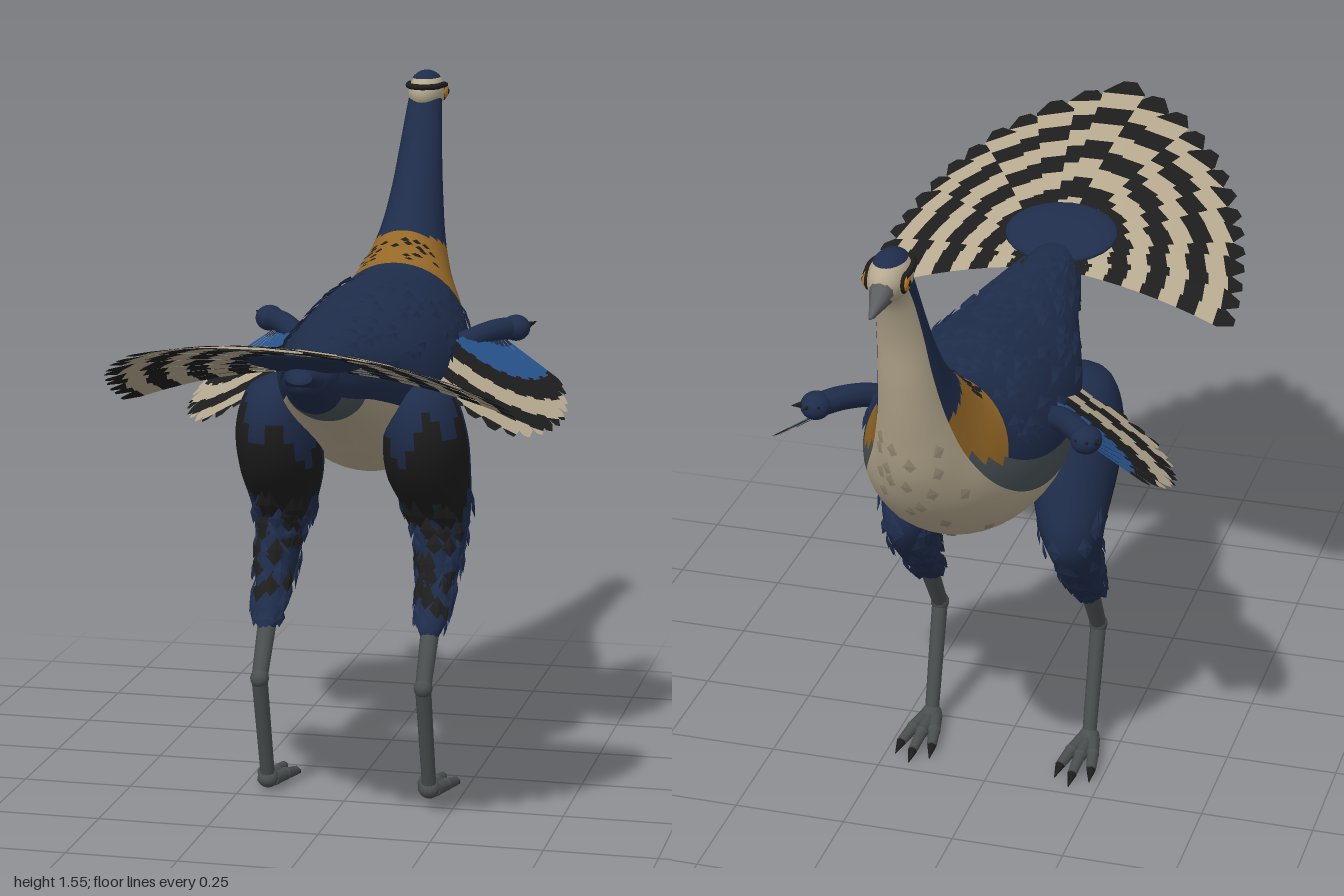
import * as THREE from 'three';

const mat = (name, color, side = THREE.FrontSide) => {
  const m = new THREE.MeshStandardMaterial({ color, side });
  m.name = name;
  return m;
};

let seed = 7;
const rand = () => (seed = (seed * 16807) % 2147483647) / 2147483647;
const V3 = (x, y, z) => new THREE.Vector3(x, y, z);

export function createModel() {
  const D = THREE.DoubleSide;
  const navy = mat('navy', 0x1f2d4b, D), cream = mat('cream', 0xb6a98f, D), black = mat('black', 0x1d1d1e, D);
  const ochre = mat('ochre', 0x956826), slate = mat('slate', 0x4a5357), blue = mat('brightBlue', 0x27528c, D);
  const leg = mat('legGrey', 0x4b4f50), orange = mat('eyeOrange', 0xc07a1c), beakGrey = mat('beakGrey', 0x5c5f60);
  const dusk = mat('duskyCream', 0x978b76, D);

  const root = new THREE.Group();
  const add = (name, geo, material, parent = root) => {
    const m = new THREE.Mesh(geo, material);
    m.name = name;
    parent.add(m);
    return m;
  };

  // Surface through elliptical rings [cx, cy, cz, ux, vy, vz]; s runs along, phi around
  const surface = (rings) => (s, phi) => {
    const k = THREE.MathUtils.clamp(s, 0, 1) * (rings.length - 1);
    const i = Math.min(Math.floor(k), rings.length - 2), t = k - i;
    const at = (j) => rings[THREE.MathUtils.clamp(j, 0, rings.length - 1)];
    const [x, y, z, u, vy, vz] = rings[0].map((_, c) => {
      const [a, b, d, e] = [at(i - 1)[c], at(i)[c], at(i + 1)[c], at(i + 2)[c]];
      return 0.5 * (2 * b + (d - a) * t + (2 * a - 5 * b + 4 * d - e) * t * t + (3 * b - a - 3 * d + e) * t ** 3);
    });
    const co = Math.cos(phi);
    return V3(x + u * Math.sin(phi), y + vy * co, z + vz * co);
  };

  // Loft with a material chosen for every face
  const loft = (name, P, ns, n, mats, pick, parent) => {
    const pos = [], faces = mats.map(() => []);
    for (let i = 0; i <= ns; i++) for (let j = 0; j < n; j++) pos.push(...P(i / ns, (j / n) * Math.PI * 2).toArray());
    for (let i = 0; i < ns; i++) for (let j = 0; j < n; j++) {
      const a = i * n + j, b = i * n + (j + 1) % n;
      faces[pick((i + 0.5) / ns, ((j + 0.5) / n) * Math.PI * 2)].push(a, b, a + n, b, b + n, a + n);
    }
    const g = new THREE.BufferGeometry();
    g.setAttribute('position', new THREE.Float32BufferAttribute(pos, 3));
    g.setIndex(faces.flat());
    let start = 0;
    faces.forEach((f, k) => { g.addGroup(start, f.length, k); start += f.length; });
    g.computeVertexNormals();
    return add(name, g, mats, parent);
  };

  const triangles = (name, pos, material, parent) => {
    const g = new THREE.BufferGeometry();
    g.setAttribute('position', new THREE.Float32BufferAttribute(pos, 3));
    g.computeVertexNormals();
    return add(name, g, material, parent);
  };

  // Small pointed feathers lying on a surface, tips slightly lifted
  const scatter = (name, P, count, s0, s1, phiMax, phiMid, ds, width, lift, material, parent) => {
    const pos = [];
    for (let i = 0; i < count; i++) {
      const s = s0 + rand() * (s1 - s0), phi = phiMid + (rand() * 2 - 1) * phiMax;
      const base = P(s, phi), side = P(s, phi + 0.05).sub(base).normalize();
      const along = P(s + ds, phi).sub(base);
      const n = side.clone().cross(along).normalize().multiplyScalar(Math.sign(ds));
      const pt = (t, w, l) => base.clone().addScaledVector(along, t).addScaledVector(side, w * width).addScaledVector(n, l).toArray();
      const A = pt(0, 0, 0), B = pt(0.6, 1, lift * 0.5), C = pt(0.6, -1, lift * 0.5), T = pt(1, 0, lift), M = pt(0.5, 0, lift * 0.9);
      pos.push(...A, ...B, ...M, ...A, ...M, ...C, ...B, ...T, ...M, ...M, ...T, ...C);
    }
    triangles(name, pos, material, parent);
  };

  // Fan of banded feathers around a hinge; bands(L, i) lists [end radius, material]
  const fan = (name, side, hx, hz, a0, a1, count, r0, length, height, bands, parent) => {
    const buckets = new Map(), da = Math.abs(a1 - a0) / (count - 1);
    for (let i = 0; i < count; i++) {
      const a = a0 + ((a1 - a0) * i) / (count - 1), L = length(a), lift = (i % 2) * 0.002;
      const pt = (r, e) => {
        const taper = r > 0.92 * L ? 1 - 0.7 * (r - 0.92 * L) / (0.08 * L) : 1;
        const t = e * r * da * 0.62 * taper;
        const x = hx + r * Math.sin(a) + t * Math.cos(a), z = hz + r * Math.cos(a) - t * Math.sin(a);
        return [side * x, height(x, z) + lift, z];
      };
      let r = r0;
      for (const [end, material] of bands(L, i)) {
        const stop = Math.min(end, L);
        if (stop <= r) continue;
        if (!buckets.has(material)) buckets.set(material, []);
        const cuts = r < 0.92 * L && stop > 0.92 * L ? [r, 0.92 * L, stop] : [r, stop];
        for (let c = 0; c + 1 < cuts.length; c++) {
          const A = pt(cuts[c], -1), B = pt(cuts[c], 1), C = pt(cuts[c + 1], 1), E = pt(cuts[c + 1], -1);
          buckets.get(material).push(...A, ...E, ...C, ...A, ...C, ...B);
        }
        r = stop;
      }
    }
    for (const [m, pos] of buckets) triangles(`${name} ${m.name}`, pos, m, parent);
  };

  const rod = (name, a, b, ra, rb, material, parent, n = 10) => {
    const d = b.clone().sub(a);
    const m = add(name, new THREE.CylinderGeometry(rb, ra, d.length(), n), material, parent);
    m.position.copy(a).addScaledVector(d, 0.5);
    m.quaternion.setFromUnitVectors(V3(0, 1, 0), d.normalize());
  };
  const tube = (name, points, r, material, parent) =>
    add(name, new THREE.TubeGeometry(new THREE.CatmullRomCurve3(points), 20, r, 10), material, parent);
  const ball = (name, p, r, material, parent = root, ...args) => {
    const m = add(name, new THREE.SphereGeometry(1, 24, 16, ...args), material, parent);
    m.position.set(...p);
    m.scale.set(...r);
    return m;
  };

  // Body and neck: top z, top y, bottom z, bottom y, half width
  const bodyRings = [
    [0.42, 1.07, 0.42, 1.04, 0.03], [0.28, 1.08, 0.28, 0.95, 0.065], [0.15, 1.09, 0.13, 0.9, 0.105],
    [0, 1.1, 0, 0.835, 0.15], [-0.12, 1.11, -0.12, 0.77, 0.185], [-0.25, 1.125, -0.25, 0.715, 0.2],
    [-0.37, 1.135, -0.42, 0.735, 0.2], [-0.47, 1.14, -0.56, 0.79, 0.18], [-0.55, 1.155, -0.67, 0.88, 0.145],
    [-0.6, 1.2, -0.745, 0.99, 0.105], [-0.66, 1.255, -0.785, 1.11, 0.078], [-0.72, 1.33, -0.815, 1.23, 0.062],
    [-0.765, 1.4, -0.838, 1.34, 0.052], [-0.8, 1.47, -0.87, 1.43, 0.044], [-0.82, 1.52, -0.9, 1.475, 0.039],
  ].map(([tz, ty, bz, by, w]) => [0, (ty + by) / 2, (tz + bz) / 2, w, (ty - by) / 2, (tz - bz) / 2]);
  const body = surface(bodyRings);
  loft('body and neck', body, 112, 48, [navy, cream, slate, ochre], (s, phi) => {
    const k = s * 14, v = Math.cos(phi);
    if (k < 1) return 0;
    if (v < -0.35) return k < 1.7 ? 2 : 1;
    if (k > 7.8 && k < 9.75 - 0.55 * v && v > Math.max(-0.35, -0.1 - 0.25 * (k - 8))) return 3;
    return k > 3.6 && k < 9 && v < -0.02 ? 2 : 0;
  });
  scatter('back feathers', body, 150, 0.1, 0.55, 1.35, 0, -0.04, 0.022, 0.009, navy);
  scatter('collar speckles', body, 24, 0.58, 0.645, 0.8, 0, -0.016, 0.011, 0.005, black);
  scatter('breast spots', body, 26, 0.32, 0.72, 0.95, Math.PI, -0.02, 0.014, 0.003, dusk);

  // Head, crown, eyes and beak
  const head = new THREE.Group();
  head.name = 'head';
  root.add(head);
  ball('face', [0, 1.508, -0.872], [0.043, 0.048, 0.07], cream, head);
  ball('crown', [0, 1.511, -0.868], [0.043, 0.05, 0.07], navy, head, 0, Math.PI * 2, 0, 0.85);
  tube('brow stripe', [V3(0.038, 1.522, -0.905), V3(0.041, 1.527, -0.865), V3(0.032, 1.526, -0.825), V3(0, 1.526, -0.804),
    V3(-0.032, 1.526, -0.825), V3(-0.041, 1.527, -0.865), V3(-0.038, 1.522, -0.905)], 0.007, black, head);
  for (const s of [1, -1]) {
    ball('eye rim', [s * 0.036, 1.508, -0.893], [0.008, 0.022, 0.023], black, head);
    ball('eye', [s * 0.039, 1.508, -0.895], [0.009, 0.017, 0.017], orange, head);
    ball('pupil', [s * 0.044, 1.508, -0.896], [0.006, 0.008, 0.008], black, head);
  }
  rod('upper beak', V3(0, 1.503, -0.92), V3(0, 1.473, -1), 0.027, 0.003, beakGrey, head);
  rod('lower beak', V3(0, 1.483, -0.91), V3(0, 1.469, -0.985), 0.02, 0.003, leg, head);

  // Tail fan and its coverts
  const tail = new THREE.Group();
  tail.name = 'tail';
  root.add(tail);
  fan('tail fan', 1, 0, 0.27, -1.58, 1.58, 27, 0.04, (a) => 0.43 + 0.3 * (1 - Math.abs(a) / 1.6) ** 2.25,
    (x, z) => 1.035 + 0.39 * (z - 0.25) - 0.2 * (z - 0.25) ** 2 - 0.43 * x * x,
    (L, i) => Array.from({ length: 10 }, (_, k) => [k === 9 ? L : (L * (k + 1 + (i % 3) * 0.12)) / 10, k % 2 ? black : cream]), tail);
  const covert = ball('tail coverts', [0, 1.083, 0.38], [0.13, 0.02, 0.1], navy, tail);
  covert.rotation.x = -0.33;
  ball('tail root', [0, 1.035, 0.27], [0.06, 0.05, 0.14], navy, tail);

  for (const s of [1, -1]) {
    const side = s > 0 ? 'left' : 'right';

    // Wing: arm, banded feathers and small claws
    const wing = new THREE.Group();
    wing.name = `${side} wing`;
    root.add(wing);
    const wingBands = [[0.055, navy], [0.145, blue], [0.2, black], [0.25, cream], [0.295, black], [0.34, cream], [1, black]];
    fan('wing feathers', s, 0.23, -0.46, -0.25, 1.4, 15, 0.01,
      (a) => THREE.MathUtils.lerp(0.37, 0.185, Math.max(0, (a - 0.3) / 1.1) ** 0.9),
      (x, z) => 1.035 - 0.65 * (x - 0.22) - 0.32 * (z + 0.47),
      (L, i) => wingBands.map(([r, m]) => [r + (i % 2) * 0.008, m]), wing);
    tube('arm', [V3(s * 0.14, 0.97, -0.34), V3(s * 0.2, 1, -0.38), V3(s * 0.25, 1.015, -0.44), V3(s * 0.29, 1.015, -0.49)], 0.026, navy, wing);
    ball('hand', [s * 0.292, 1.015, -0.49], [0.033, 0.03, 0.035], navy, wing);
    for (const d of [-1, 0, 1]) rod('wing claw', V3(s * (0.295 + d * 0.018), 1.018, -0.5), V3(s * (0.305 + d * 0.028), 1.025, -0.535 + Math.abs(d) * 0.01), 0.01, 0.001, black, wing, 6);

    // Feathered thigh: y, centre x, centre z, half width, half depth
    const legGroup = new THREE.Group();
    legGroup.name = `${side} leg`;
    root.add(legGroup);
    const thigh = surface([
      [0.975, 0.15, -0.06, 0.01, 0.01], [0.94, 0.16, -0.06, 0.07, 0.085], [0.85, 0.168, -0.07, 0.092, 0.12],
      [0.75, 0.168, -0.11, 0.093, 0.125], [0.65, 0.178, -0.17, 0.072, 0.1], [0.58, 0.185, -0.165, 0.055, 0.088],
      [0.5, 0.187, -0.12, 0.043, 0.06], [0.42, 0.187, -0.055, 0.033, 0.034], [0.38, 0.187, -0.03, 0.012, 0.012],
    ].map(([y, x, z, rx, rz]) => [s * x, y, z, -rx, 0, rz]));
    loft('thigh', thigh, 36, 28, [navy, black], (t, phi) => {
      const edge = 0.25 + 0.05 * Math.sin(phi * 5) - 0.06 * s * Math.sin(phi) * -1;
      return t > edge && t < edge + 0.27 && Math.cos(phi) > 0.05 ? 1 : 0;
    }, legGroup);
    scatter('thigh feathers', thigh, 60, 0.42, 0.86, Math.PI, 0, 0.085, 0.02, 0.011, navy, legGroup);
    scatter('dark thigh feathers', thigh, 22, 0.4, 0.78, 1, 0, 0.085, 0.02, 0.012, black, legGroup);

    // Bare shank, ankle and foot
    const x = s * 0.187, ankle = V3(x, 0.29, 0.03), heel = V3(x, 0.045, -0.04);
    rod('shin', V3(x, 0.43, -0.06), ankle, 0.022, 0.018, leg, legGroup);
    ball('ankle', ankle.toArray(), [0.021, 0.022, 0.021], leg, legGroup);
    rod('shank', ankle, heel, 0.018, 0.016, leg, legGroup);
    ball('foot', [x, 0.036, -0.045], [0.024, 0.022, 0.026], leg, legGroup);
    for (const d of [-1, 0, 1]) {
      const reach = d ? 0.11 : 0.14;
      const mid = V3(x + d * 0.025, 0.03, -0.05 - reach * 0.5), end = V3(x + d * 0.036, 0.022, -0.05 - reach);
      rod('toe', V3(x + d * 0.01, 0.033, -0.045), mid, 0.016, 0.014, leg, legGroup, 8);
      rod('toe tip', mid, end, 0.014, 0.011, leg, legGroup, 8);
      ball('toe joint', mid.toArray(), [0.015, 0.015, 0.015], leg, legGroup);
      rod('toe claw', end, V3(x + d * 0.04, 0.008, end.z - 0.033), 0.011, 0.001, black, legGroup, 6);
    }
  }
  return root;
}
